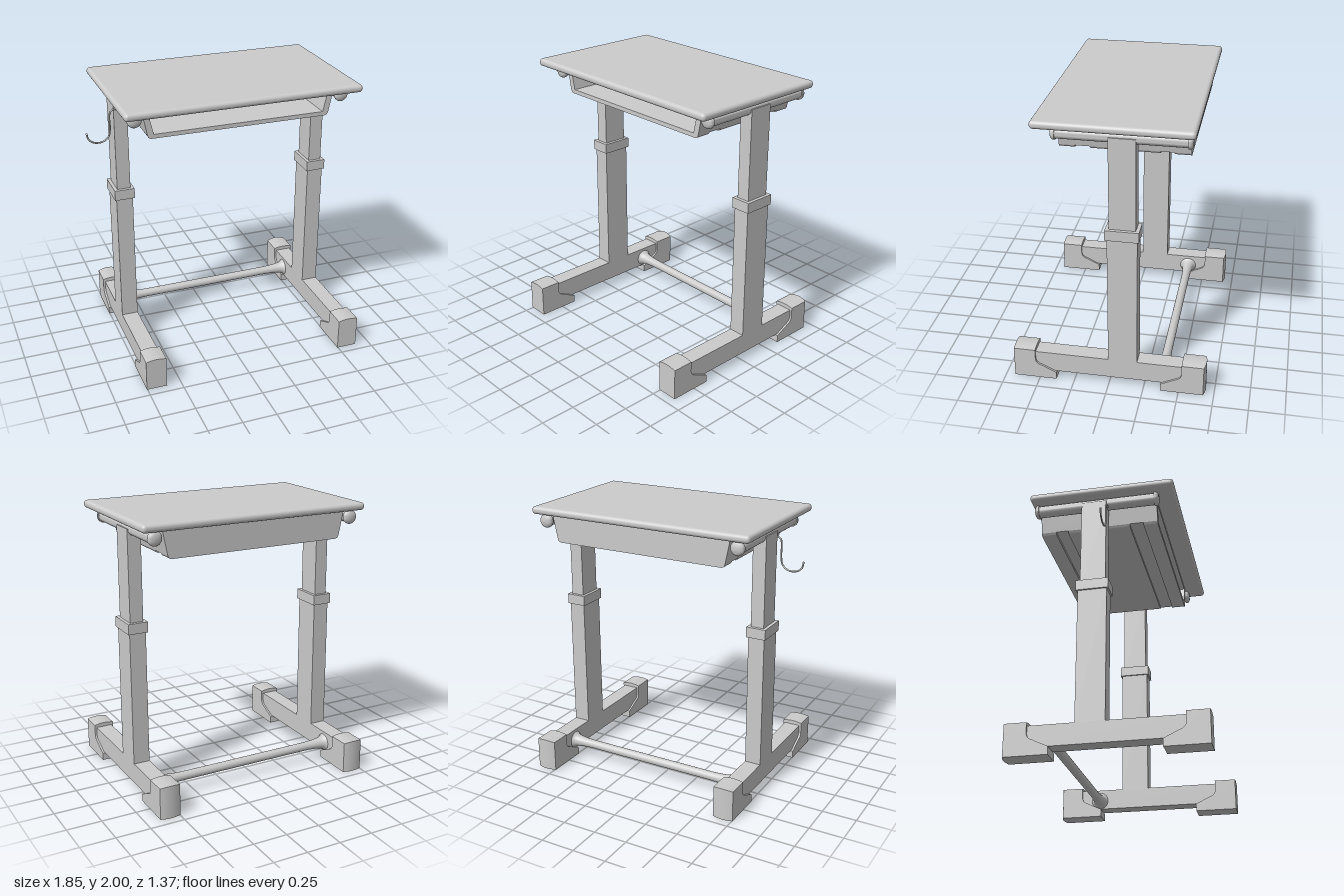
import * as THREE from 'three';
import { toCreasedNormals } from 'three/addons/utils/BufferGeometryUtils.js';
import { RoundedBoxGeometry } from 'three/addons/geometries/RoundedBoxGeometry.js';

const material = new THREE.MeshStandardMaterial({ color: 0xcccccc });
const LEG_X = 0.75, LEG_Z = -0.1;

function add(parent, name, geometry, x = 0, y = 0, z = 0) {
  const mesh = new THREE.Mesh(geometry, material);
  mesh.name = name;
  mesh.position.set(x, y, z);
  parent.add(mesh);
  return mesh;
}

// Box given by its bottom and top height
function post(parent, name, w, y0, y1, d, z) {
  add(parent, name, new THREE.BoxGeometry(w, y1 - y0, d), 0, (y0 + y1) / 2, z);
}

// Foot cap: side profile extruded across, then its top (and end) bulged
function footCapGeometry(endBulge) {
  const s = new THREE.Shape();
  s.moveTo(0.38, 0);
  s.lineTo(0.685, 0);
  s.lineTo(0.685, 0.23);
  s.lineTo(0.53, 0.23);
  s.lineTo(0.53, 0.155);
  s.quadraticCurveTo(0.527, 0.12, 0.49, 0.108);
  s.lineTo(0.38, 0.055);
  const half = 0.075;
  const g = new THREE.ExtrudeGeometry(s, { depth: half * 2, steps: 12, bevelEnabled: false, curveSegments: 8 });
  g.translate(0, 0, -half);
  const p = g.attributes.position;
  for (let i = 0; i < p.count; i++) {
    const arch = 1 - (p.getZ(i) / half) ** 2;
    if (p.getY(i) > 0.22) p.setY(i, p.getY(i) + 0.01 * arch);
    if (p.getX(i) > 0.68) p.setX(i, p.getX(i) + endBulge * arch);
  }
  return toCreasedNormals(g, 0.5);
}

function makeLeg(side) {
  const leg = new THREE.Group();
  leg.name = side > 0 ? 'leftLeg' : 'rightLeg';
  leg.position.x = side * LEG_X;
  post(leg, 'footBeam', 0.12, 0.06, 0.21, 1.2, 0);
  post(leg, 'lowerColumn', 0.12, 0.2, 1.2, 0.205, LEG_Z);
  post(leg, 'collar', 0.145, 1.18, 1.255, 0.23, LEG_Z);
  post(leg, 'upperColumn', 0.097, 1.2, 1.905, 0.18, LEG_Z);
  add(leg, 'frontFootCap', footCapGeometry(0)).rotation.y = -Math.PI / 2;
  add(leg, 'backFootCap', footCapGeometry(0.014), 0, 0, 0.01).rotation.y = Math.PI / 2;

  // Support tube under the top, with domed end caps
  const profile = [[0, -0.46], [0.03, -0.457], [0.044, -0.45], [0.05, -0.44], [0.05, -0.425], [0.042, -0.425],
    [0.042, 0.425], [0.05, 0.425], [0.05, 0.44], [0.044, 0.45], [0.03, 0.457], [0, 0.46]];
  const tube = new THREE.LatheGeometry(profile.map(([r, h]) => new THREE.Vector2(r, h)), 32);
  add(leg, 'supportTube', toCreasedNormals(tube, 0.6), 0, 1.9, -0.09).rotation.x = Math.PI / 2;
  return leg;
}

// Shape symmetric about x = 0 from [halfWidth, y] pairs, listed bottom to top
function symmetric(points, Type = THREE.Shape) {
  const right = points.map(([x, y]) => new THREE.Vector2(x, y));
  const left = points.map(([x, y]) => new THREE.Vector2(-x, y)).reverse();
  return new Type([...right, ...left]);
}

function slab(shape, z0, z1) {
  const g = new THREE.ExtrudeGeometry(shape, { depth: z1 - z0, bevelEnabled: false });
  return g.translate(0, 0, z0);
}

function makeTray() {
  const tray = new THREE.Group();
  tray.name = 'tray';
  const outline = [[0.66, 1.775], [0.696, 1.948]];
  const shell = symmetric(outline);
  shell.holes.push(symmetric([[0.618, 1.785], [0.65, 1.925]], THREE.Path));
  add(tray, 'trayShell', slab(shell, -0.5, 0.34));
  add(tray, 'trayBack', slab(symmetric(outline), -0.525, -0.5));
  // Raised strips that leave two grooves along the underside
  const strip = symmetric([[0.638, 1.755], [0.651, 1.761], [0.66, 1.775]]);
  for (const [z0, z1] of [[0.235, 0.34], [-0.325, 0.135], [-0.525, -0.415]]) {
    add(tray, 'trayStrip', slab(strip, z0, z1));
  }
  return tray;
}

// Crossbar flaring towards both legs
function crossbarGeometry() {
  const half = [[0.066, 0.692], [0.055, 0.682], [0.046, 0.665], [0.041, 0.64], [0.036, 0.6], [0.033, 0.55], [0.032, 0.5]];
  const points = [
    ...half.map(([r, h]) => new THREE.Vector2(r, -h)),
    ...half.map(([r, h]) => new THREE.Vector2(r, h)).reverse(),
  ];
  return new THREE.LatheGeometry(points, 32);
}

function makeHook() {
  const hook = new THREE.Group();
  hook.name = 'hook';
  const points = [[-0.69, 1.865], [-0.725, 1.863], [-0.75, 1.852], [-0.76, 1.82], [-0.76, 1.725], [-0.772, 1.67],
    [-0.81, 1.639], [-0.848, 1.633], [-0.885, 1.642], [-0.915, 1.668], [-0.925, 1.706]];
  const path = new THREE.CatmullRomCurve3(points.map(([x, y]) => new THREE.Vector3(x, y, -0.004)));
  add(hook, 'hookRod', new THREE.TubeGeometry(path, 80, 0.006, 10));
  add(hook, 'hookTip', new THREE.SphereGeometry(0.008, 12, 8), -0.925, 1.706, -0.004);
  return hook;
}

export function createModel() {
  const model = new THREE.Group();
  model.name = 'adjustableDesk';

  // Desk body sits off-centre because the hook sticks out at one side
  const desk = new THREE.Group();
  desk.name = 'desk';
  desk.position.x = 0.07;
  model.add(desk);

  add(desk, 'tabletop', new RoundedBoxGeometry(1.7, 0.055, 1.055, 5, 0.025), 0, 1.9725, -0.0425);
  desk.add(makeLeg(-1), makeLeg(1), makeTray());
  add(desk, 'crossbar', crossbarGeometry(), 0, 0.125, -0.38).rotation.z = Math.PI / 2;
  model.add(makeHook());
  return model;
}
